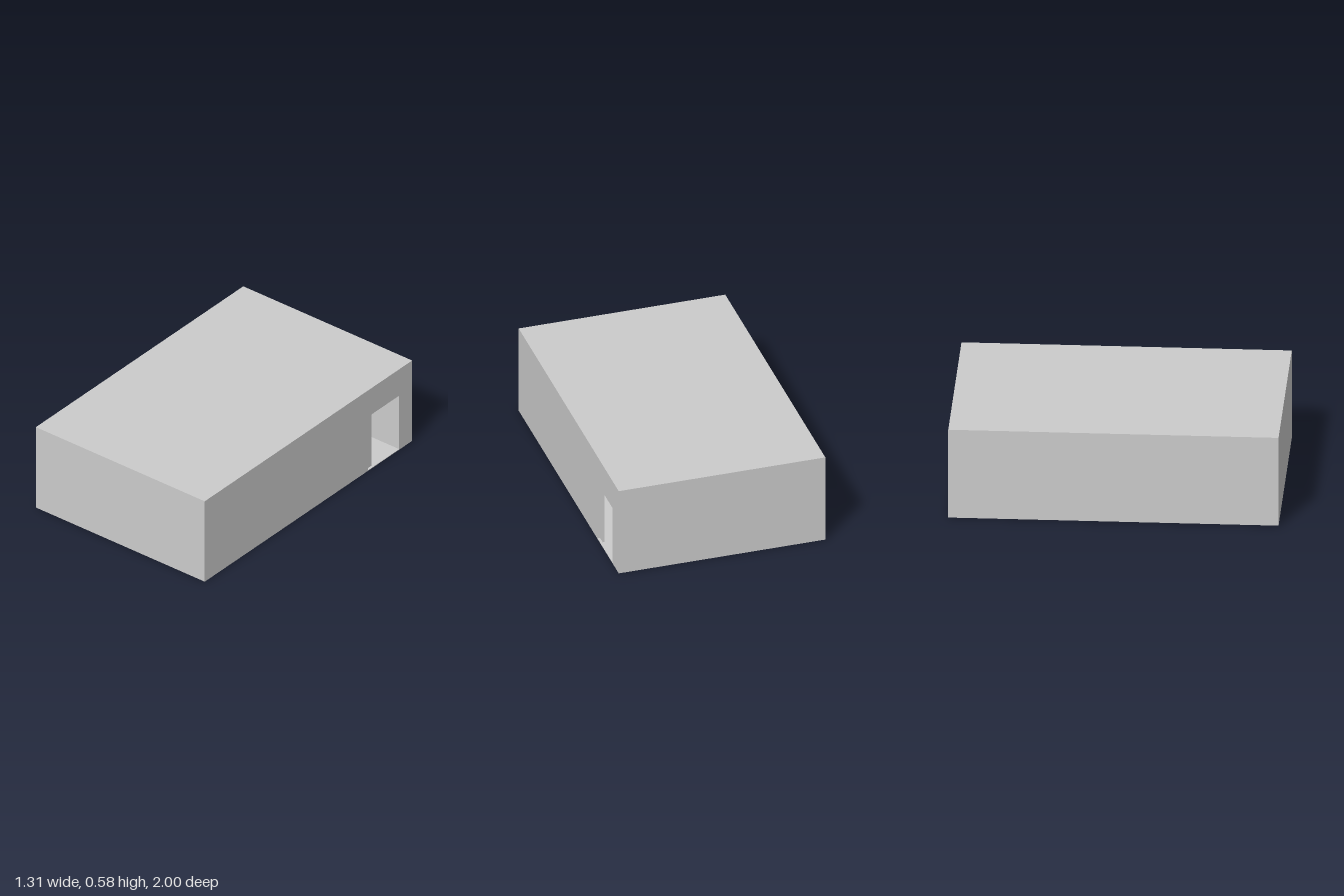
import * as THREE from 'three';

const W = 1.31, D = 2, H = 0.58;       // outer size
const T = 0.016, FLOOR = 0.004;        // wall and floor thickness
const DOOR = { near: -0.575, far: -0.875, top: 0.39 };

export function createModel() {
  const group = new THREE.Group();
  const material = new THREE.MeshStandardMaterial({ color: 0xcccccc, flatShading: true });

  const add = (name, geometry) => {
    const mesh = new THREE.Mesh(geometry, material);
    mesh.name = name;
    group.add(mesh);
    return mesh;
  };
  // Box given by its min and max corners
  const box = (name, [x0, y0, z0], [x1, y1, z1]) =>
    add(name, new THREE.BoxGeometry(x1 - x0, y1 - y0, z1 - z0))
      .position.set((x0 + x1) / 2, (y0 + y1) / 2, (z0 + z1) / 2);

  const x = W / 2, z = D / 2, top = H - T;

  // Floor and flat roof
  box('floor', [-x, 0, -z], [x, FLOOR, z]);
  box('roof', [-x, top, -z], [x, H, z]);

  // Closed outer walls
  box('frontWall', [-x, FLOOR, z - T], [x, top, z]);
  box('backWall', [-x, FLOOR, -z], [x, top, -z + T]);
  box('closedSideWall', [-x, FLOOR, -z + T], [-x + T, top, z - T]);

  // Side wall with the doorway notched out of its lower edge
  const outline = new THREE.Shape([
    [-z + T, FLOOR], [DOOR.far, FLOOR], [DOOR.far, DOOR.top], [DOOR.near, DOOR.top],
    [DOOR.near, FLOOR], [z - T, FLOOR], [z - T, top], [-z + T, top],
  ].map(([a, b]) => new THREE.Vector2(-a, b)));
  const doorWall = new THREE.ExtrudeGeometry(outline, { depth: T, bevelEnabled: false });
  doorWall.rotateY(Math.PI / 2);
  doorWall.translate(x - T, 0, 0);
  add('doorwayWall', doorWall);

  // Inner partition flush with the far side of the doorway
  box('innerPartition', [-x + T, FLOOR, DOOR.far - 0.03], [x - T, top, DOOR.far]);

  // Narrow post just inside the near side of the doorway
  box('doorPost', [x - T - 0.01, FLOOR, -0.63], [x - T, top, DOOR.near + 0.03]);

  return group;
}
